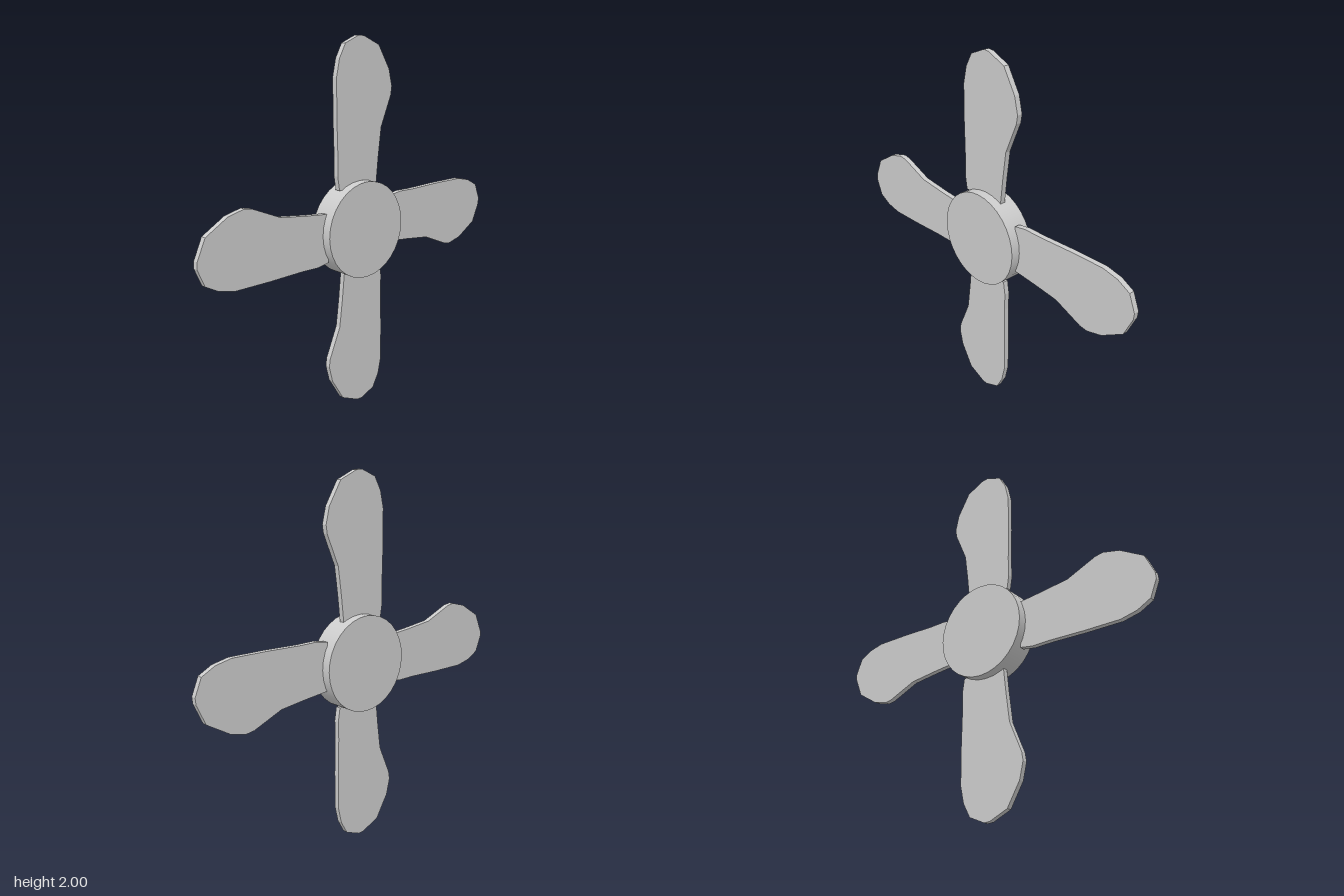
import * as THREE from 'three';

// Outline of the upward blade, measured from the hub centre
const BLADE_OUTLINE = [
  [-0.145, 0.225], [-0.157, 0.3], [-0.155, 0.4], [-0.16, 0.6], [-0.16, 0.8],
  [-0.14, 0.89], [-0.1, 0.963], [-0.01, 1], [0.025, 0.997], [0.13, 0.95],
  [0.205, 0.825], [0.227, 0.735], [0.22, 0.69], [0.15, 0.525], [0.13, 0.37],
  [0.115, 0.225],
];
const BLADE_THICKNESS = 0.03;
const HUB_RADIUS = 0.26;
const HUB_DEPTH = 0.134;

export function createModel() {
  const model = new THREE.Group();
  model.name = 'propeller';
  const material = new THREE.MeshStandardMaterial({ color: 0xcccccc });

  // Round hub, its axis along z
  const hubGeometry = new THREE.CylinderGeometry(HUB_RADIUS, HUB_RADIUS, HUB_DEPTH, 32);
  hubGeometry.rotateX(Math.PI / 2);
  const hub = new THREE.Mesh(hubGeometry, material);
  hub.name = 'hub';
  hub.position.y = 1;
  model.add(hub);

  // Four flat blades, a quarter turn apart
  const shape = new THREE.Shape(BLADE_OUTLINE.map(([x, y]) => new THREE.Vector2(x, y)));
  const bladeGeometry = new THREE.ExtrudeGeometry(shape, { depth: BLADE_THICKNESS, bevelEnabled: false });
  bladeGeometry.translate(0, 0, -BLADE_THICKNESS / 2);
  ['topBlade', 'leftBlade', 'bottomBlade', 'rightBlade'].forEach((name, i) => {
    const blade = new THREE.Mesh(bladeGeometry, material);
    blade.name = name;
    blade.position.y = 1;
    blade.rotation.z = -i * Math.PI / 2;
    model.add(blade);
  });

  return model;
}
